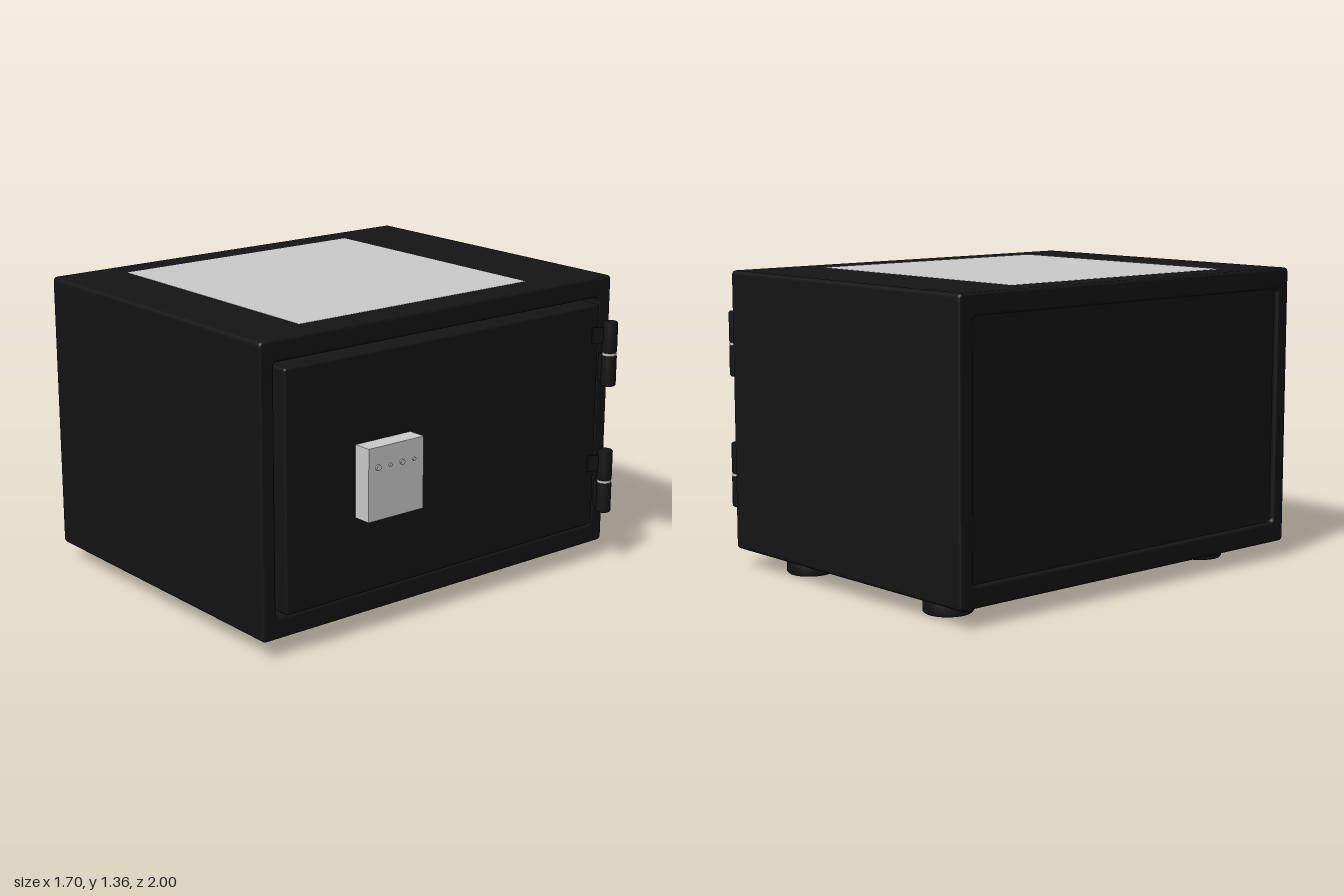
import * as THREE from 'three';
import { RoundedBoxGeometry } from 'three/addons/geometries/RoundedBoxGeometry.js';

const black = new THREE.MeshStandardMaterial({ color: 0x141414 });
const grey = new THREE.MeshStandardMaterial({ color: 0xcccccc });

function add(parent, name, geometry, material, x = 0, y = 0, z = 0) {
  const mesh = new THREE.Mesh(geometry, material);
  mesh.name = name;
  mesh.position.set(x, y, z);
  parent.add(mesh);
  return mesh;
}

// Box given by its limits, with optional rounded edges
function block(parent, name, material, [x0, x1], [y0, y1], [z0, z1], radius = 0) {
  const size = [x1 - x0, y1 - y0, z1 - z0];
  const geometry = radius
    ? new RoundedBoxGeometry(...size, 3, radius)
    : new THREE.BoxGeometry(...size);
  return add(parent, name, geometry, material, (x0 + x1) / 2, (y0 + y1) / 2, (z0 + z1) / 2);
}

// Rounded rectangle outline, added to a Shape or Path
function roundedRect(path, x0, y0, x1, y1, r) {
  path.moveTo(x0 + r, y0);
  path.lineTo(x1 - r, y0);
  path.absarc(x1 - r, y0 + r, r, -Math.PI / 2, 0);
  path.lineTo(x1, y1 - r);
  path.absarc(x1 - r, y1 - r, r, 0, Math.PI / 2);
  path.lineTo(x0 + r, y1);
  path.absarc(x0 + r, y1 - r, r, Math.PI / 2, Math.PI);
  path.lineTo(x0, y0 + r);
  path.absarc(x0 + r, y0 + r, r, Math.PI, Math.PI * 1.5);
  return path;
}

// Hollow casing, extruded along x and open at the door side
function casing() {
  const bevel = 0.012;
  const shape = roundedRect(new THREE.Shape(), -1, 0.08, 1, 1.36, 0.02);
  shape.holes.push(roundedRect(new THREE.Path(), -0.93, 0.175, 0.925, 1.265, 0.02));
  const geometry = new THREE.ExtrudeGeometry(shape, {
    depth: 1.57 - 2 * bevel, bevelThickness: bevel, bevelSize: bevel,
    bevelOffset: -bevel, bevelSegments: 3, curveSegments: 4,
  });
  return geometry.translate(0, 0, bevel).rotateY(Math.PI / 2);
}

// Two-part barrel hinge with a bright washer and two fixing arms
function hinge(y) {
  const group = new THREE.Group();
  group.name = 'hinge';
  group.position.set(0.795, y, -0.925);
  for (const side of [-1, 1]) {
    const barrel = new THREE.LatheGeometry([
      [0, -0.072], [0.03, -0.072], [0.035, -0.066], [0.035, 0.066], [0.03, 0.072], [0, 0.072],
    ].map(([r, h]) => new THREE.Vector2(r, h)), 24);
    add(group, 'hingeBarrel', barrel, black, 0, side * 0.078, 0);
  }
  add(group, 'hingeWasher', new THREE.CylinderGeometry(0.033, 0.033, 0.012, 24), grey);
  const bodyArm = add(group, 'bodyArm', new THREE.BoxGeometry(0.1, 0.13, 0.012), black, -0.05, -0.078, -0.012);
  bodyArm.rotation.y = -0.2;
  const doorArm = add(group, 'doorArm', new THREE.BoxGeometry(0.012, 0.075, 0.08), black, -0.018, 0.09, 0.045);
  doorArm.rotation.y = -0.3;
  return group;
}

export function createModel() {
  const safe = new THREE.Group();
  safe.name = 'safe';

  // Casing with an inset rear panel
  add(safe, 'casing', casing(), black, -0.85, 0, 0);
  block(safe, 'rearPanel', black, [-0.825, -0.79], [0.15, 1.29], [-0.95, 0.95]);

  // Inner liner, flush with the casing above and below
  block(safe, 'liner', grey, [-0.71, 0.575], [0.079, 1.361], [-0.595, 0.69]);

  // Door with its keypad
  block(safe, 'door', black, [0.6, 0.757], [0.19, 1.245], [-0.893, 0.905], 0.012);
  block(safe, 'keypad', grey, [0.75, 0.842], [0.54, 0.86], [0.24, 0.54]);
  [0.49, 0.425, 0.36, 0.295].forEach((z, i) => {
    const r = [0.013, 0.008, 0.012, 0.008][i];
    const button = new THREE.CylinderGeometry(r, r, 0.012, 16).rotateZ(Math.PI / 2);
    add(safe, 'keypadButton', button, grey, 0.844, 0.772, z);
  });

  // Hinges
  for (const y of [0.408, 1.017]) safe.add(hinge(y));

  // Feet with softly rounded rims
  const footProfile = [
    [0, 0], [0.1, 0], [0.108, 0.008], [0.108, 0.06], [0.1, 0.07], [0.1, 0.085], [0, 0.085],
  ].map(([r, h]) => new THREE.Vector2(r, h));
  for (const x of [-0.565, 0.395]) {
    for (const z of [-0.82, 0.73]) {
      add(safe, 'foot', new THREE.LatheGeometry(footProfile, 32), black, x, 0, z);
    }
  }
  return safe;
}
